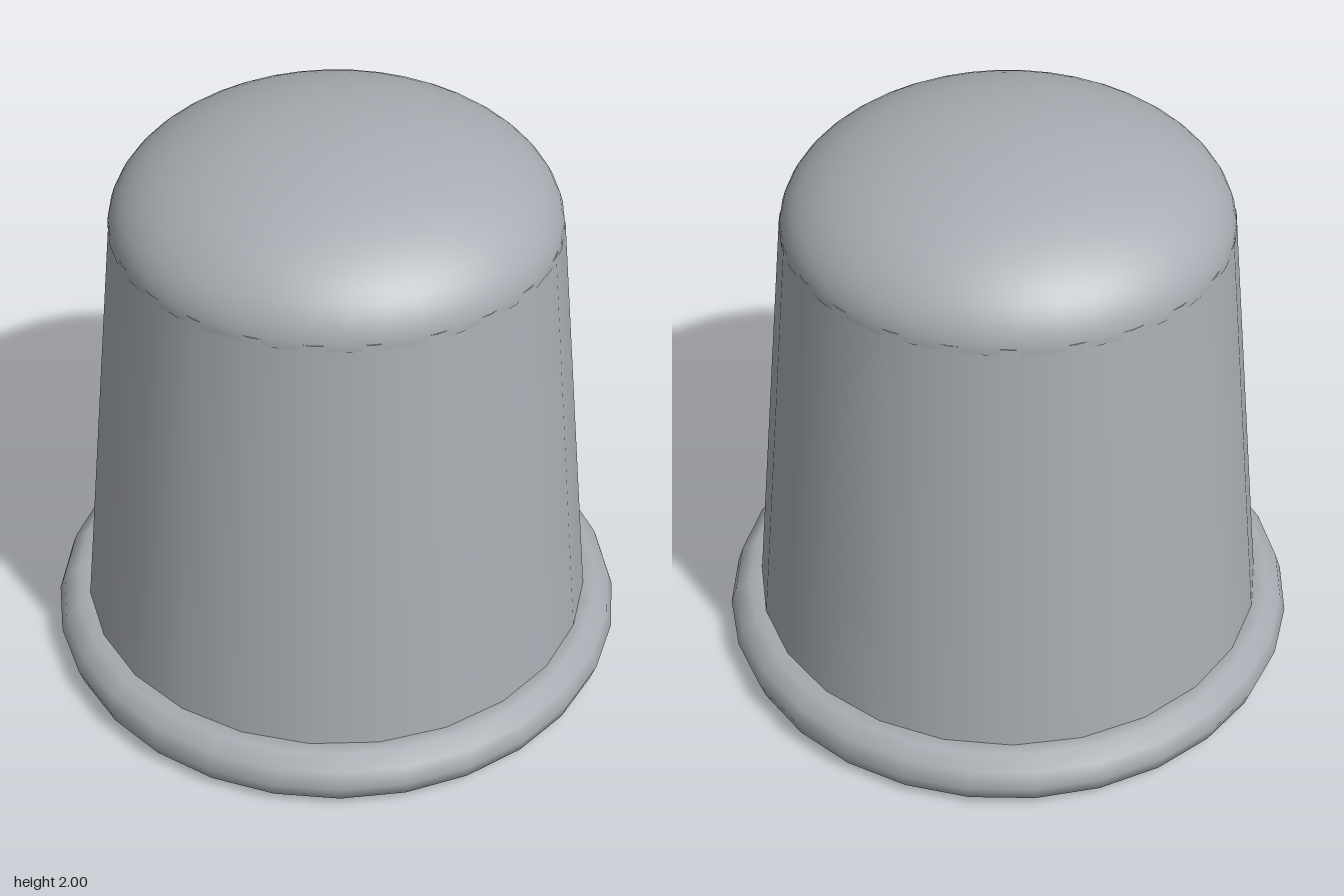
import * as THREE from 'three';

export function createModel() {
  const model = new THREE.Group();
  model.name = 'thimble';
  const steel = new THREE.MeshStandardMaterial({ color: 0xa8acb2 });
  steel.name = 'steel grey';

  const add = (name, geometry, y) => {
    const mesh = new THREE.Mesh(geometry, steel);
    mesh.name = name;
    mesh.position.y = y;
    model.add(mesh);
    return mesh;
  };

  // Tapered wall, closed underneath
  const bottom = 0.03, top = 1.68;
  add('body', new THREE.CylinderGeometry(0.72, 0.887, top - bottom, 24), (top + bottom) / 2);

  // Flattened dome sunk slightly into the wall
  const dome = new THREE.SphereGeometry(0.72, 40, 16, 0, Math.PI * 2, 0, Math.PI * 0.5);
  dome.scale(1, 0.34 / 0.72, 1);
  add('dome', dome, 1.66);

  // Rolled rim
  const rim = new THREE.TorusGeometry(0.882, 0.1, 10, 28);
  rim.rotateX(Math.PI / 2);
  add('rim', rim, 0.098);

  return model;
}
